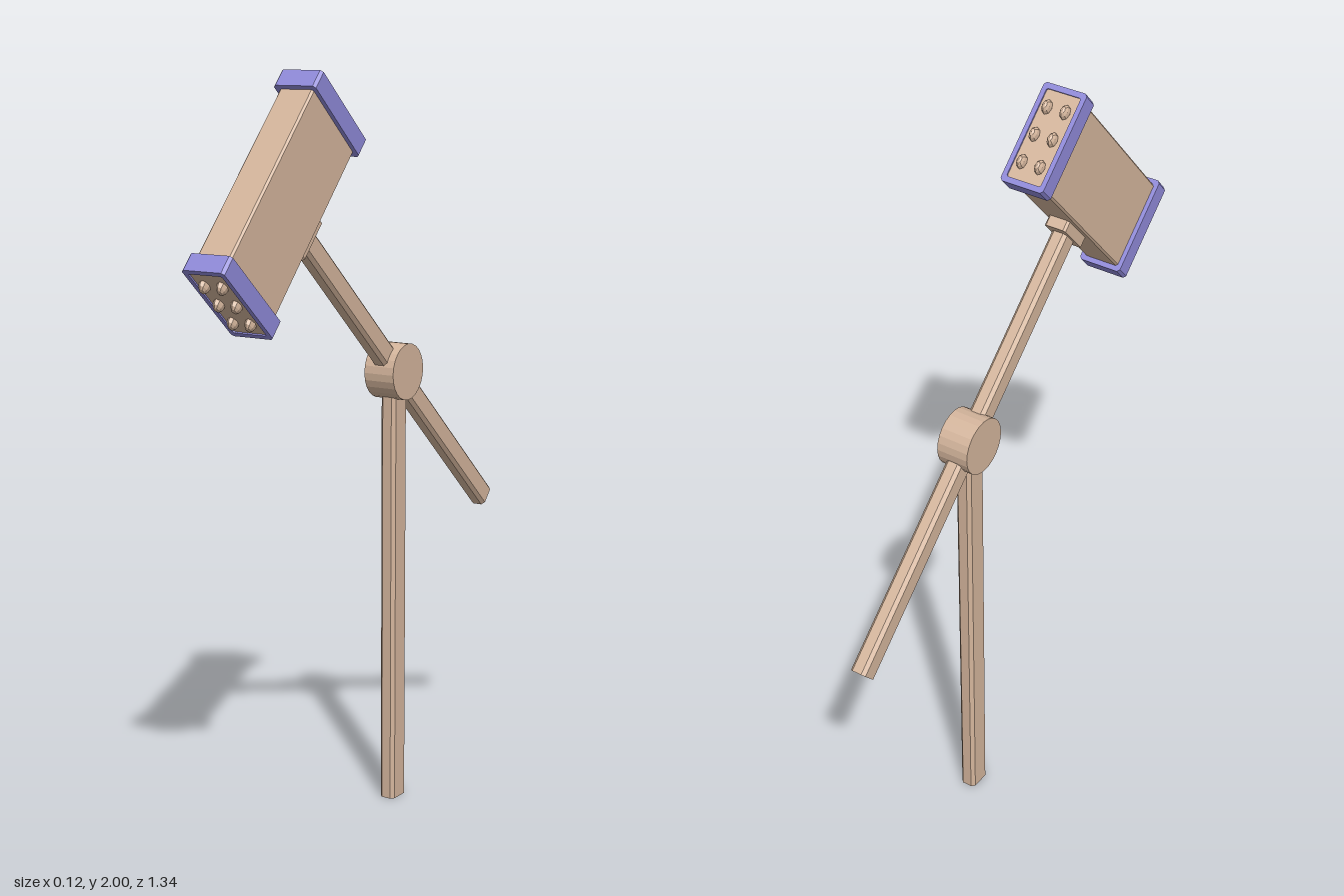
import * as THREE from 'three';

const wood = new THREE.MeshStandardMaterial({ color: 0xd4b59c, flatShading: true });
const band = new THREE.MeshStandardMaterial({ color: 0x8f89d8, flatShading: true });

// Rectangle outline with chamfered corners
function chamferedRect(w, h, c, Type = THREE.Shape) {
  const x = w / 2, y = h / 2;
  return new Type([
    [x - c, -y], [x, -y + c], [x, y - c], [x - c, y],
    [-x + c, y], [-x, y - c], [-x, -y + c], [-x + c, -y],
  ].map(([a, b]) => new THREE.Vector2(a, b)));
}

// Straight bar along z, centred at the origin; optional rectangular hole
function barGeometry(w, h, length, chamfer, hole) {
  const shape = chamferedRect(w, h, chamfer);
  if (hole) shape.holes.push(chamferedRect(hole[0], hole[1], 0.004, THREE.Path));
  const g = new THREE.ExtrudeGeometry(shape, { depth: length, bevelEnabled: false });
  return g.translate(0, 0, -length / 2);
}

function add(parent, name, geometry, material, x = 0, y = 0, z = 0) {
  const mesh = new THREE.Mesh(geometry, material);
  mesh.name = name;
  mesh.position.set(x, y, z);
  parent.add(mesh);
  return mesh;
}

export function createModel() {
  const model = new THREE.Group();
  model.name = 'malletOnPost';
  const pivotY = 1.2, pivotZ = -0.166;

  // Upright post and the round hinge on top
  add(model, 'post', barGeometry(0.045, 0.068, pivotY, 0.009).rotateX(-Math.PI / 2),
    wood, 0, pivotY / 2, pivotZ);
  add(model, 'hinge', new THREE.CylinderGeometry(0.076, 0.076, 0.09, 24).rotateZ(Math.PI / 2),
    wood, 0, pivotY, pivotZ);

  // Tilted mallet: local z runs along the handle, local y along the head
  const mallet = new THREE.Group();
  mallet.name = 'mallet';
  mallet.position.set(0, pivotY, pivotZ);
  mallet.rotation.x = -THREE.MathUtils.degToRad(42.3);
  model.add(mallet);

  add(mallet, 'handle', barGeometry(0.045, 0.062, 1.265, 0.009), wood, 0, 0, -0.0125);
  add(mallet, 'collar', barGeometry(0.062, 0.122, 0.04, 0.006), wood, 0, 0, 0.593);

  // Head block with a band round each end
  const head = new THREE.Group();
  head.name = 'head';
  head.position.z = 0.721;
  mallet.add(head);
  add(head, 'headBlock', barGeometry(0.1, 0.24, 0.602, 0.005).rotateX(-Math.PI / 2), wood);

  const bandGeometry = barGeometry(0.124, 0.268, 0.05, 0.007, [0.098, 0.238]).rotateX(-Math.PI / 2);
  const studGeometry = new THREE.SphereGeometry(0.019, 8, 6).scale(0.65, 1, 1);
  for (const side of [1, -1]) {
    add(head, 'endBand', bandGeometry, band, 0, side * 0.28, 0);
    // Two columns of three studs on each striking face
    for (const x of [-0.026, 0.026])
      for (const z of [-0.074, 0, 0.074])
        add(head, 'stud', studGeometry, wood, x, side * 0.305, z);
  }
  return model;
}
